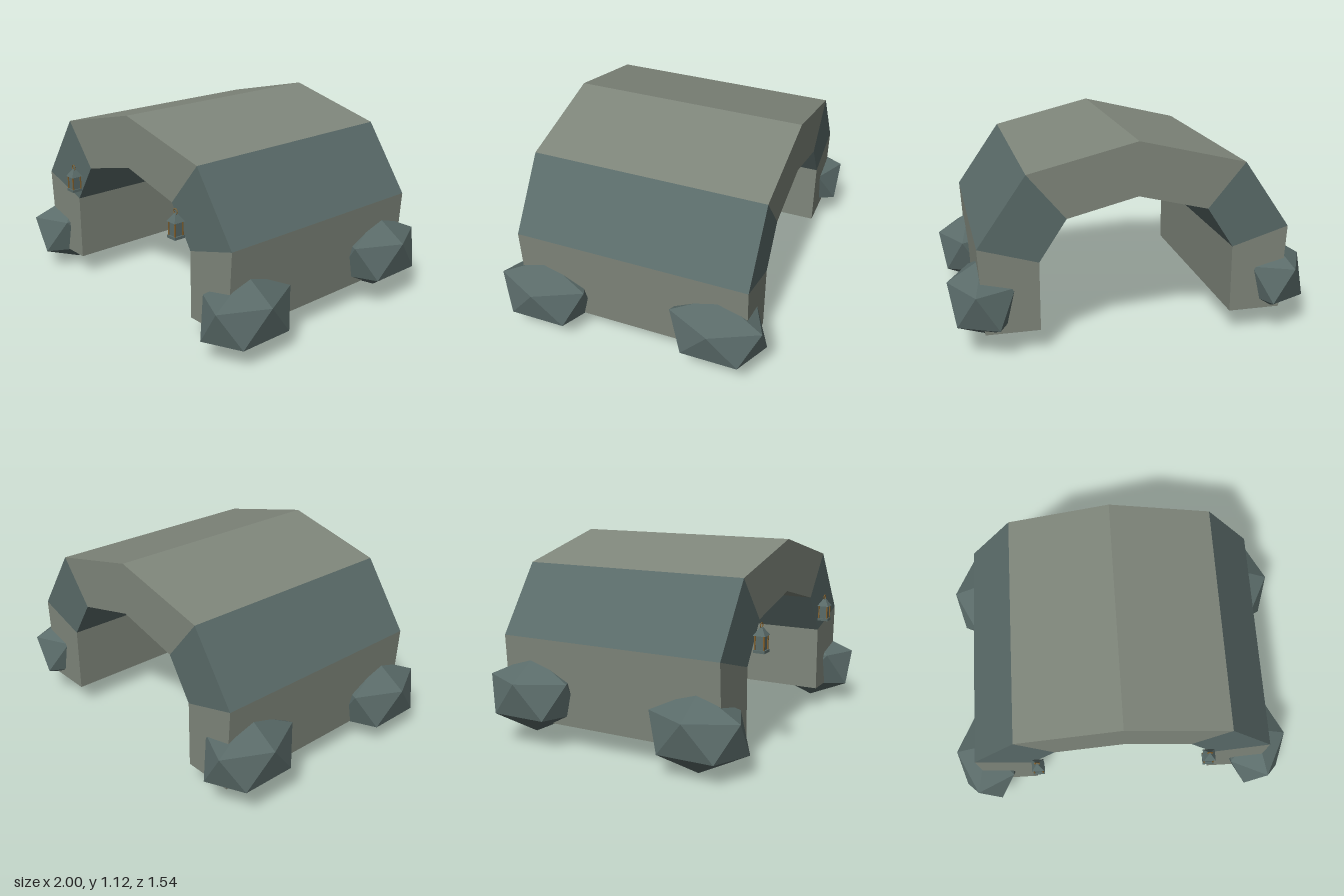
import * as THREE from 'three';

const material = (name, color) => {
  const m = new THREE.MeshStandardMaterial({ color, flatShading: true });
  m.name = name;
  return m;
};

export function createModel() {
  const stone = material('warm grey stone', 0x7f867b);
  const slate = material('blue grey slate', 0x5a6b69);
  const brass = material('aged brass', 0x80602f);
  const model = new THREE.Group();
  model.name = 'stoneArch';

  const add = (parent, name, geometry, mat, x = 0, y = 0, z = 0) => {
    const mesh = new THREE.Mesh(geometry, mat);
    mesh.name = name;
    mesh.position.set(x, y, z);
    parent.add(mesh);
    return mesh;
  };

  // Arch stones: a cross-section in x and y, run along the tunnel
  const back = -0.68, front = 0.645;
  const block = (name, points, mat) => {
    const shape = new THREE.Shape(points.map(([x, y]) => new THREE.Vector2(x, y)));
    const geometry = new THREE.ExtrudeGeometry(shape, { depth: front - back, bevelEnabled: false });
    add(model, name, geometry, mat, 0, 0, back);
  };
  block('archCrown', [[0.588, 0.975], [0, 1.117], [-0.588, 0.975], [-0.383, 0.73], [0, 0.825], [0.383, 0.73]], stone);

  // Standard twelve-cornered solid, turned so that a corner points straight up
  const boulderGeometry = () => {
    const g = new THREE.IcosahedronGeometry(1, 0);
    const pole = new THREE.Vector3(0, 1, (1 + Math.sqrt(5)) / 2).normalize();
    g.applyQuaternion(new THREE.Quaternion().setFromUnitVectors(pole, new THREE.Vector3(0, 1, 0)));
    // Spin so one corner of the upper ring lies on +x
    const p = g.attributes.position;
    for (let i = 0; i < p.count; i++) {
      if (p.getY(i) > 0.3 && p.getY(i) < 0.6) {
        g.rotateY(Math.atan2(p.getZ(i), p.getX(i)));
        break;
      }
    }
    return g;
  };
  const boulder = boulderGeometry();

  const lantern = (side) => {
    const group = new THREE.Group();
    group.name = side > 0 ? 'leftLantern' : 'rightLantern';
    group.position.set(side * 0.483, 0.58, 0.7);
    model.add(group);
    add(group, 'lanternBase', new THREE.BoxGeometry(0.064, 0.015, 0.064), slate, 0, 0.0075, 0);
    add(group, 'lanternPane', new THREE.BoxGeometry(0.046, 0.078, 0.046), slate, 0, 0.053, 0);
    for (const x of [-1, 1]) for (const z of [-1, 1]) {
      add(group, 'lanternPost', new THREE.BoxGeometry(0.007, 0.078, 0.007), brass, x * 0.025, 0.053, z * 0.025);
    }
    const roof = new THREE.CylinderGeometry(0.009, 0.048, 0.042, 4);
    roof.rotateY(Math.PI / 4);
    add(group, 'lanternRoof', roof, slate, 0, 0.111, 0);
    add(group, 'lanternRing', new THREE.TorusGeometry(0.015, 0.003, 4, 10), brass, 0, 0.142, 0);
  };

  for (const side of [-1, 1]) {
    const mirror = (points) => {
      const out = points.map(([x, y]) => [x * side, y]);
      return side < 0 ? out.reverse() : out;
    };
    block('archFoot', mirror([[0.53, 0.125], [0.822, 0.125], [0.849, 0.6], [0.53, 0.505]]), stone);
    block('archShoulder', mirror([[0.53, 0.505], [0.849, 0.6], [0.588, 0.975], [0.383, 0.73]]), slate);

    // Boulders against the feet, the rear pair sitting a little higher
    for (const [z, y] of [[0.51, 0.217], [-0.513, 0.276]]) {
      const rock = add(model, 'boulder', boulder, slate, side * 0.81, y, z);
      rock.scale.set(0.2125, 0.216, 0.302);
      rock.rotation.y = side < 0 ? Math.PI : 0;
    }
    lantern(side);
  }
  return model;
}
